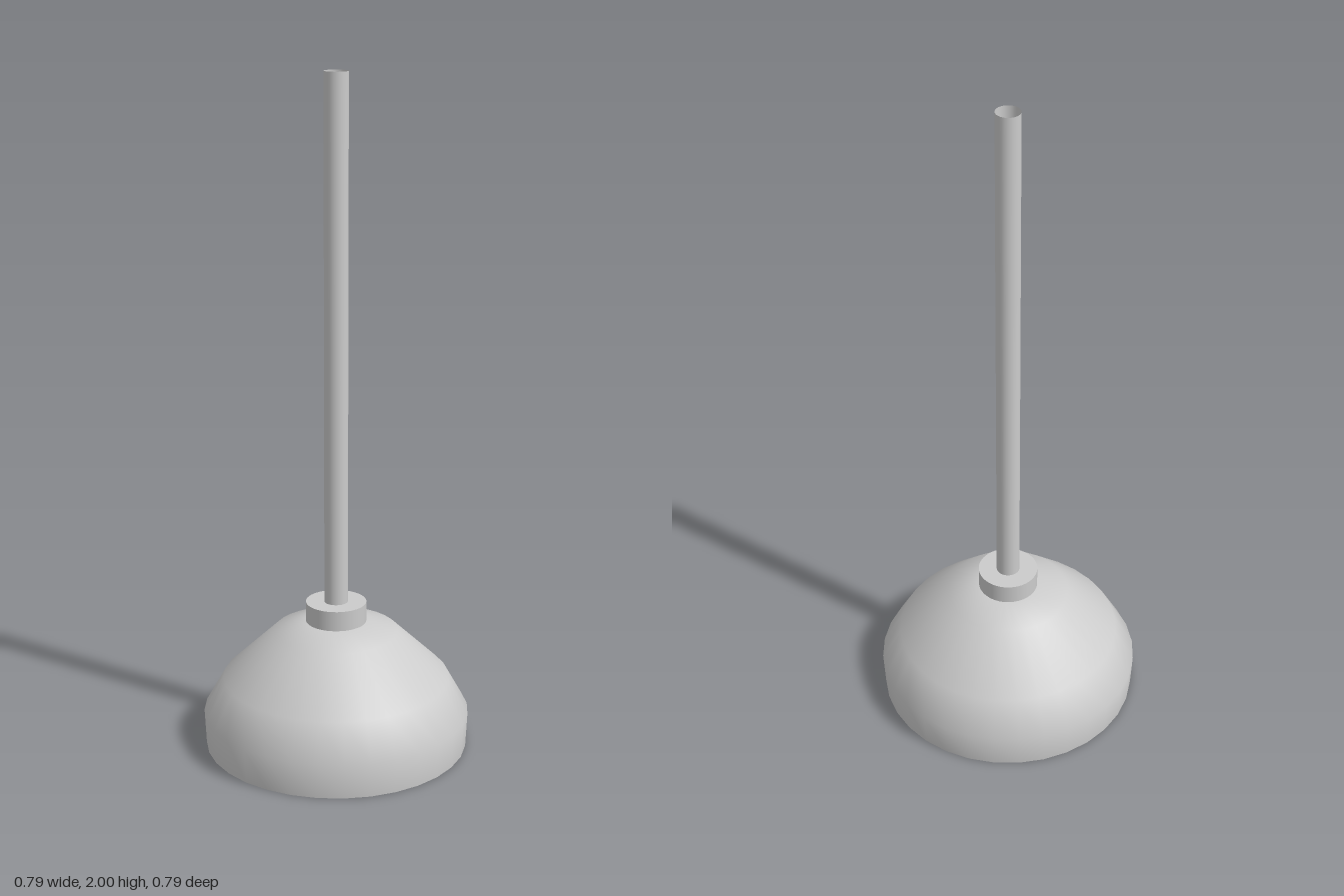
import * as THREE from 'three';

export function createModel() {
  const lamp = new THREE.Group();
  lamp.name = 'pendantLamp';
  const solid = new THREE.MeshStandardMaterial({ color: 0xcccccc });
  const thin = new THREE.MeshStandardMaterial({ color: 0xcccccc, side: THREE.DoubleSide });

  const add = (parent, name, geometry, y = 0, material = solid) => {
    const mesh = new THREE.Mesh(geometry, material);
    mesh.name = name;
    mesh.position.y = y;
    parent.add(mesh);
  };
  const lathe = (points) =>
    new THREE.LatheGeometry(points.map(([r, y]) => new THREE.Vector2(r, y)), 32);

  // Shade: outer skin, inner skin and the rim joining them
  const shade = new THREE.Group();
  shade.name = 'shade';
  lamp.add(shade);
  add(shade, 'shadeOuter', lathe([
    [0.392, 0], [0.397, 0.105], [0.338, 0.21], [0.185, 0.355], [0.09, 0.385], [0, 0.387],
  ]));
  add(shade, 'shadeInner', lathe([
    [0, 0.372], [0.085, 0.37], [0.177, 0.341], [0.325, 0.201], [0.381, 0.1], [0.377, 0],
  ]));
  add(shade, 'shadeRim', lathe([[0.377, 0], [0.392, 0]]));

  // Collar on top of the shade
  add(lamp, 'collar', new THREE.CylinderGeometry(0.09, 0.09, 0.06, 48), 0.415);

  // Hollow stem, open at the top
  add(lamp, 'stem', new THREE.CylinderGeometry(0.035, 0.035, 1.56, 32, 1, true), 1.22, thin);

  // Light bulb: round globe running into a straight neck
  const bulb = [];
  for (let i = 0; i <= 12; i++) {
    const a = (i / 12) * Math.PI * 0.7;
    bulb.push([0.09 * Math.sin(a), 0.095 - 0.09 * Math.cos(a)]);
  }
  bulb.push([0.072, 0.165], [0.072, 0.375]);
  add(lamp, 'bulb', lathe(bulb));

  return lamp;
}
